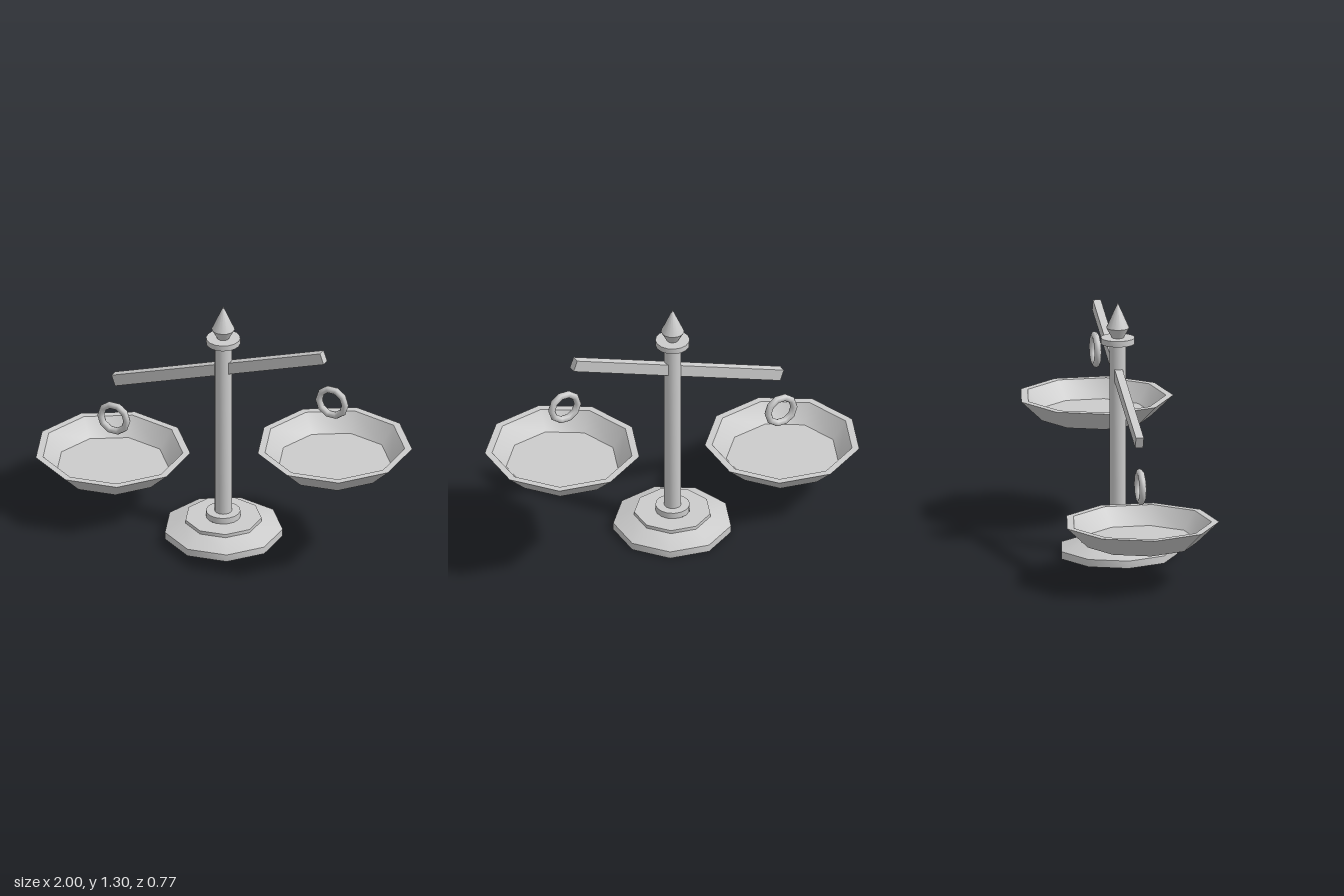
import * as THREE from 'three';
import { toCreasedNormals } from 'three/addons/utils/BufferGeometryUtils.js';

const CX = 0.012; // x of the post axis
const metal = new THREE.MeshStandardMaterial({ color: 0xcccccc, side: THREE.DoubleSide });

// Turned part: [radius, height] pairs from bottom to top, one corner facing -x
function turned(name, profile, sides, x, y = 0) {
  const points = profile.map(([r, h]) => new THREE.Vector2(r, h));
  const geometry = new THREE.LatheGeometry(points, sides, -Math.PI / 2);
  const mesh = new THREE.Mesh(toCreasedNormals(geometry, 0.75), metal);
  mesh.name = name;
  mesh.position.set(x, y, 0);
  return mesh;
}

export function createModel() {
  const model = new THREE.Group();
  model.name = 'balanceScale';

  // Stepped foot, a hollow shell open underneath
  model.add(turned('foot', [
    [0.299, 0], [0.299, 0.038], [0.193, 0.077], [0.193, 0.095], [0.086, 0.095],
  ], 9, CX));

  // Hollow post with its lower and upper collars
  model.add(turned('post', [
    [0.086, 0.095], [0.086, 0.127], [0.043, 0.127], [0.043, 1.086],
    [0.086, 1.086], [0.086, 1.116], [0.03, 1.116],
  ], 16, CX));

  // Pointed finial
  model.add(turned('finial', [[0.03, 1.116], [0.058, 1.167], [0, 1.296]], 16, CX));

  // Tilted beam
  const beam = new THREE.Mesh(new THREE.BoxGeometry(1.238, 0.06, 0.04), metal);
  beam.name = 'beam';
  beam.position.set(-0.011, 0.934, -0.003);
  beam.rotation.z = 0.345;
  model.add(beam);

  // Dished pans, each with a ring floating above it
  const panProfile = [
    [0, 0], [0.281, 0], [0.392, 0.106], [0.355, 0.106], [0.284, 0.016], [0, 0.016],
  ];
  const sides = [
    { label: 'left', panX: 0.632, ringX: 0.62, panY: 0.555, ringY: 0.9 },
    { label: 'right', panX: -0.608, ringX: -0.599, panY: 0.215, ringY: 0.5 },
  ];
  for (const { label, panX, ringX, panY, ringY } of sides) {
    model.add(turned(label + 'Pan', panProfile, 9, panX, panY));
    const ring = new THREE.Mesh(new THREE.TorusGeometry(0.073, 0.018, 8, 10), metal);
    ring.name = label + 'Ring';
    ring.position.set(ringX, ringY, 0);
    model.add(ring);
  }

  return model;
}
